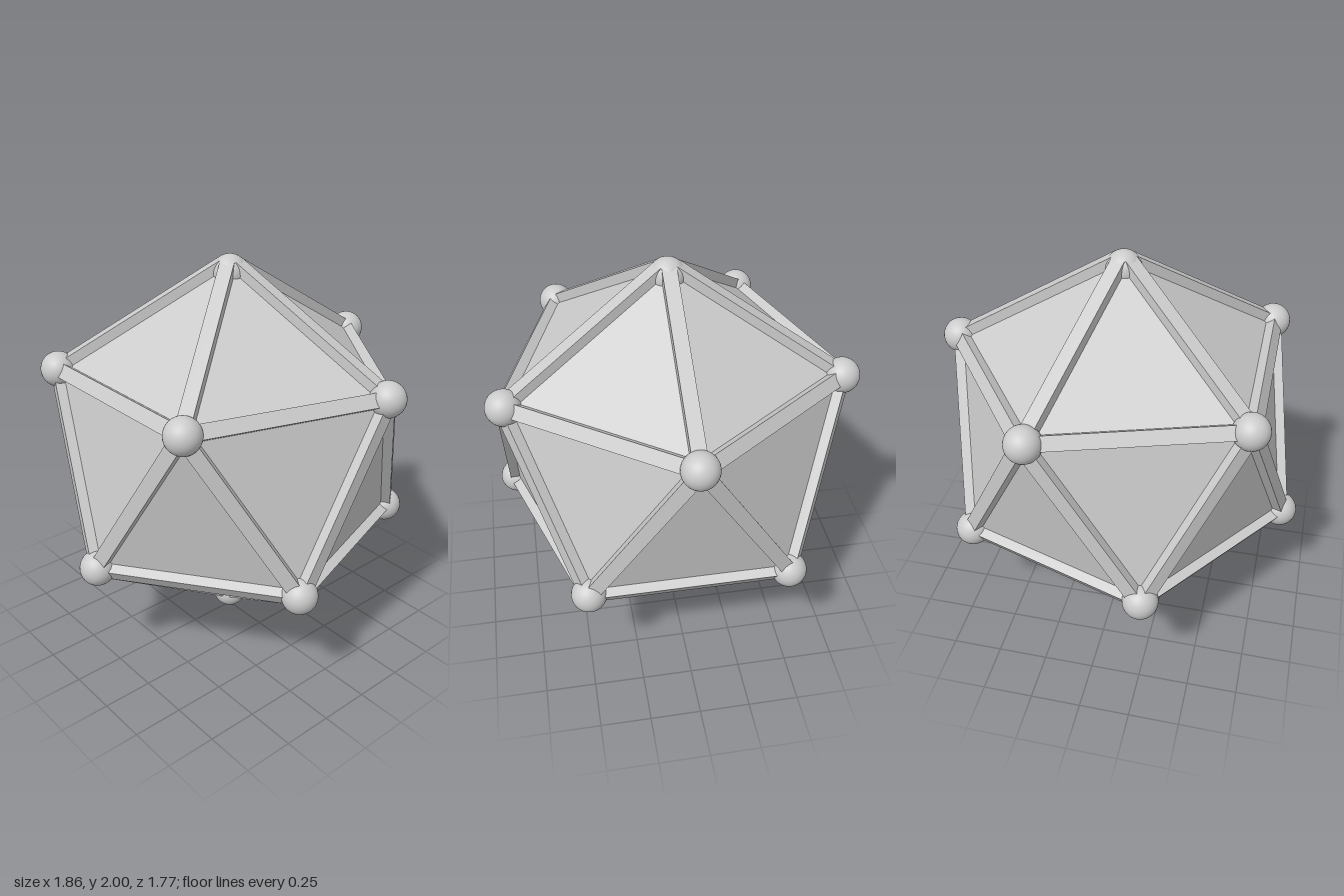
import * as THREE from 'three';
import { ConvexGeometry } from 'three/addons/geometries/ConvexGeometry.js';

const R = 0.94;        // circumradius of the frame
const CENTRE_Y = 1.027;
const BAR = 0.07;      // square bar section
const BALL = 0.087;    // joint radius

export function createModel() {
  const model = new THREE.Group();
  const material = new THREE.MeshStandardMaterial({ color: 0xcccccc });
  const flat = new THREE.MeshStandardMaterial({ color: 0xcccccc, flatShading: true });

  // Corners of an icosahedron standing on one point
  const ringY = R / Math.sqrt(5), ringR = 2 * ringY;
  const corners = [new THREE.Vector3(0, R, 0), new THREE.Vector3(0, -R, 0)];
  for (let i = 0; i < 5; i++) {
    const a = (i * 2 * Math.PI) / 5;
    const upper = new THREE.Vector3(ringR * Math.cos(a), ringY, ringR * Math.sin(a));
    corners.push(upper, upper.clone().negate());
  }

  // Triangular panels
  const panels = new THREE.Mesh(new ConvexGeometry(corners), flat);
  panels.name = 'panels';
  model.add(panels);

  // Ball joints, the top one set slightly lower
  const joints = new THREE.Group();
  joints.name = 'joints';
  const ballGeometry = new THREE.SphereGeometry(BALL, 32, 24);
  corners.forEach((corner, i) => {
    const ball = new THREE.Mesh(ballGeometry, material);
    ball.name = 'joint';
    ball.position.copy(corner);
    if (i === 0) ball.position.y = 2 - BALL - CENTRE_Y;
    joints.add(ball);
  });
  model.add(joints);

  // Square bars along every edge, one side facing outwards
  const bars = new THREE.Group();
  bars.name = 'bars';
  const edge = corners[0].distanceTo(corners[2]);
  const barGeometry = new THREE.BoxGeometry(BAR, BAR, edge - 0.08);
  for (let i = 0; i < corners.length; i++) {
    for (let j = i + 1; j < corners.length; j++) {
      if (corners[i].distanceTo(corners[j]) > edge * 1.1) continue;
      const bar = new THREE.Mesh(barGeometry, flat);
      bar.name = 'bar';
      bar.position.addVectors(corners[i], corners[j]).multiplyScalar(0.5);
      const out = bar.position.clone().normalize();
      const along = new THREE.Vector3().subVectors(corners[j], corners[i]).normalize();
      const across = new THREE.Vector3().crossVectors(out, along);
      bar.quaternion.setFromRotationMatrix(new THREE.Matrix4().makeBasis(across, out, along));
      bars.add(bar);
    }
  }
  model.add(bars);

  model.position.y = CENTRE_Y;
  return model;
}
